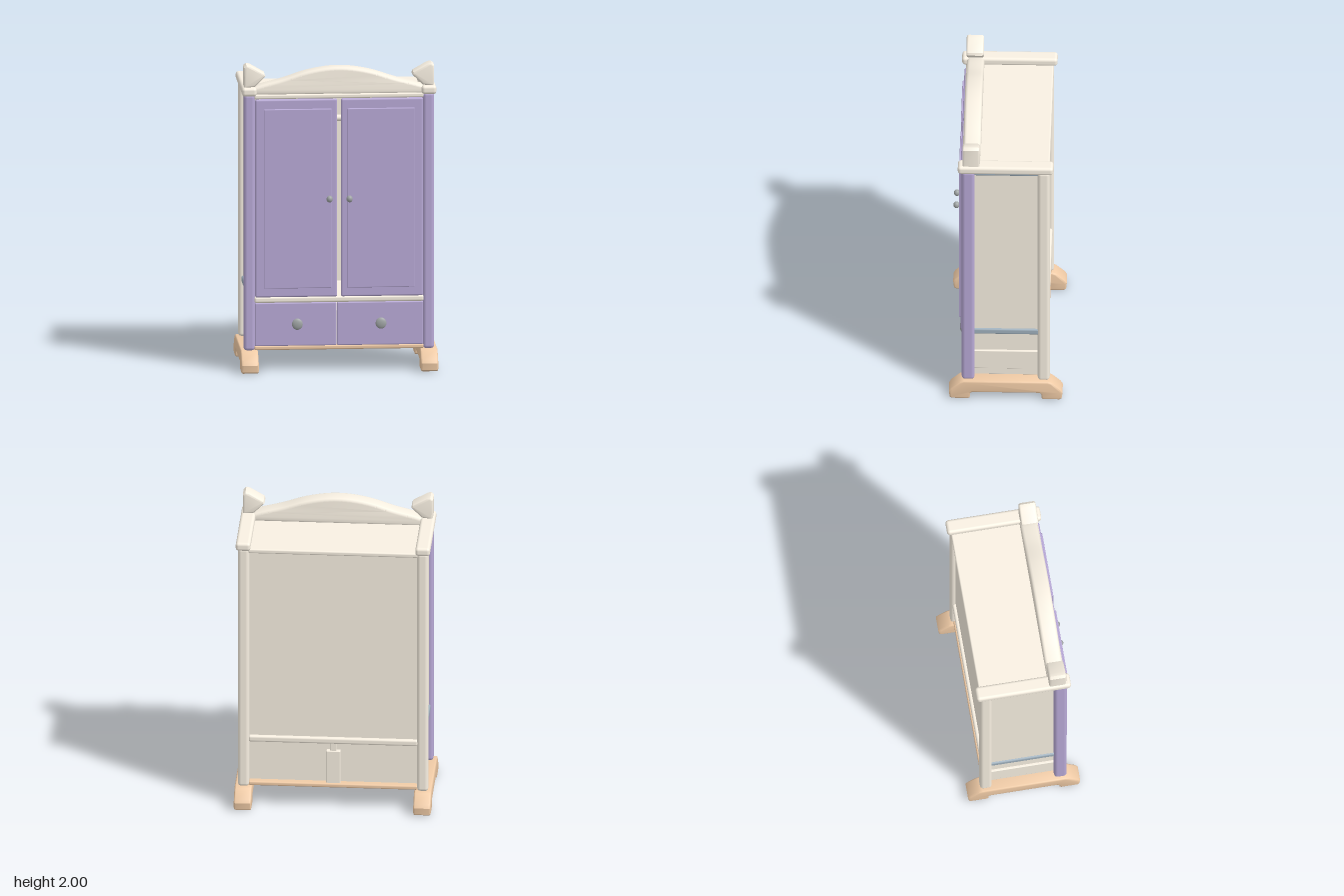
import * as THREE from 'three';
import { RoundedBoxGeometry } from 'three/addons/geometries/RoundedBoxGeometry.js';
import { toCreasedNormals } from 'three/addons/utils/BufferGeometryUtils.js';

const paint = (color) => new THREE.MeshStandardMaterial({ color });
const cream = paint(0xf8f0e2);
const purple = paint(0xb8a9d6);
const tan = paint(0xf0cba6);
const steel = paint(0x9fb0bd);
const metal = paint(0xa0a5a5);

export function createModel() {
  const model = new THREE.Group();

  const add = (name, geometry, material) => {
    const mesh = new THREE.Mesh(geometry, material);
    mesh.name = name;
    model.add(mesh);
    return mesh;
  };

  // Box given by its limits on each axis, with softened edges
  const box = (name, [x0, x1], [y0, y1], [z0, z1], material, radius = 0.006) => {
    const g = new RoundedBoxGeometry(x1 - x0, y1 - y0, z1 - z0, 3, radius);
    g.translate((x0 + x1) / 2, (y0 + y1) / 2, (z0 + z1) / 2);
    return add(name, g, material);
  };

  // The same box on the side s (+1 left, -1 right)
  const sideBox = (name, s, [a, b], y, z, material, radius) =>
    box(name, s > 0 ? [a, b] : [-b, -a], y, z, material, radius);

  // Bevelled slab cut from an outline, its full depth including the bevels
  const slab = (shape, depth, bevel) => {
    const g = new THREE.ExtrudeGeometry(shape, {
      depth: depth - 2 * bevel, bevelSize: bevel, bevelThickness: bevel,
      bevelOffset: -bevel, bevelSegments: 3, curveSegments: 24,
    });
    g.translate(0, 0, bevel - depth / 2);
    return toCreasedNormals(g, 0.6);
  };
  const outline = (points) => new THREE.Shape(points.map(([x, y]) => new THREE.Vector2(x, y)));

  // Sled foot outline: along z, up y
  const half = [[0.215, 0.05], [0.228, 0.04], [0.23, 0.008], [0.24, 0], [0.345, 0], [0.36, 0.01],
    [0.365, 0.055], [0.352, 0.078], [0.295, 0.13], [0.27, 0.14]];
  const footOutline = outline([...half, ...half.map(([z, y]) => [-z, y]).reverse()]);

  // Corner ornament outline, leaning inward
  const finialOutline = outline([[0.61, 1.85], [0.612, 1.985], [0.595, 2], [0.57, 1.995],
    [0.478, 1.942], [0.472, 1.925], [0.54, 1.858]]);

  for (const s of [1, -1]) {
    // Feet, posts and top rails
    const foot = add('foot', slab(footOutline, 0.112, 0.012), tan);
    foot.rotation.y = -Math.PI / 2;
    foot.position.x = s * 0.577;
    sideBox('frontPost', s, [0.54, 0.612], [0.135, 1.81], [0.2, 0.283], purple, 0.022);
    sideBox('backPost', s, [0.54, 0.612], [0.135, 1.81], [-0.282, -0.205], cream, 0.022);
    sideBox('topRail', s, [0.53, 0.625], [1.8, 1.857], [-0.305, 0.308], cream, 0.02);

    // Corner ornaments
    const finial = add('finial', slab(finialOutline, 0.112, 0.014), cream);
    finial.position.z = 0.223;
    if (s < 0) finial.rotation.y = Math.PI;

    // Side panels, with a raised board low down, and their cross rails
    sideBox('sidePanel', s, [0.55, 0.583], [0.5, 1.8], [-0.23, 0.22], cream, 0.004);
    sideBox('lowerSidePanel', s, [0.54, 0.565], [0.15, 0.51], [-0.23, 0.24], cream, 0.004);
    sideBox('lowerSideBoard', s, [0.545, 0.58], [0.208, 0.348], [-0.215, 0.21], cream, 0.004);
    sideBox('lowerSideRail', s, [0.55, 0.594], [0.492, 0.535], [-0.215, 0.21], steel, 0.012);
    sideBox('upperSideRail', s, [0.55, 0.594], [1.77, 1.802], [-0.215, 0.21], steel, 0.012);

    // Doors with raised panels
    sideBox('door', s, [0.012, 0.54], [0.485, 1.778], [0.262, 0.292], purple, 0.012);
    sideBox('doorPanel', s, [0.05, 0.485], [0.545, 1.715], [0.28, 0.304], purple, 0.005);
    const knob = add('doorKnob', new THREE.SphereGeometry(0.02, 20, 14), metal);
    knob.scale.y = 1.12;
    knob.position.set(s * 0.064, 1.13, 0.329);

    // Drawers, whose backs close the bays behind
    const inner = s > 0 ? -0.013 : 0.017;
    sideBox('drawerFront', s, [inner, 0.541], [0.165, 0.447], [0.245, 0.28], purple, 0.008);
    sideBox('drawerBack', s, [0.0, 0.545], [0.155, 0.455], [-0.22, -0.2], cream, 0.004);
    const pull = add('drawerKnob', new THREE.SphereGeometry(0.036, 24, 16), metal);
    pull.scale.set(0.97, 1.03, 0.4);
    pull.position.set(s * 0.269, 0.308, 0.288);
  }

  // Boards and cross rails of the case
  box('bottomBoard', [-0.545, 0.545], [0.138, 0.167], [-0.265, 0.278], tan, 0.01);
  box('shelf', [-0.545, 0.545], [0.45, 0.485], [-0.25, 0.26], cream);
  box('frontShelfRail', [-0.545, 0.545], [0.447, 0.487], [0.22, 0.285], cream, 0.014);
  box('backShelfRail', [-0.545, 0.545], [0.447, 0.49], [-0.272, -0.22], cream, 0.014);
  box('backPanel', [-0.55, 0.55], [0.48, 1.79], [-0.25, -0.23], cream, 0.004);
  box('topBoard', [-0.545, 0.545], [1.778, 1.808], [-0.28, 0.282], cream, 0.01);
  box('drawerDivider', [-0.046, 0.046], [0.16, 0.39], [-0.252, 0.235], cream);
  box('dividerPeg', [-0.02, 0.02], [0.38, 0.455], [-0.245, -0.205], cream, 0.004);

  // Clothes rod inside
  const rod = add('clothesRod', new THREE.CylinderGeometry(0.02, 0.02, 1.1, 16), cream);
  rod.rotation.z = Math.PI / 2;
  rod.position.y = 1.597;

  // Arched crest along the front
  const crest = new THREE.Shape();
  crest.moveTo(-0.545, 1.8);
  crest.lineTo(0.545, 1.8);
  crest.lineTo(0.545, 1.853);
  crest.splineThru([[0.48, 1.872], [0.36, 1.903], [0.22, 1.948], [0.1, 1.972], [0, 1.979], [-0.1, 1.972],
    [-0.22, 1.948], [-0.36, 1.903], [-0.48, 1.872], [-0.545, 1.853]].map(([x, y]) => new THREE.Vector2(x, y)));
  add('crest', slab(crest, 0.112, 0.02), cream).position.z = 0.22;

  return model;
}
